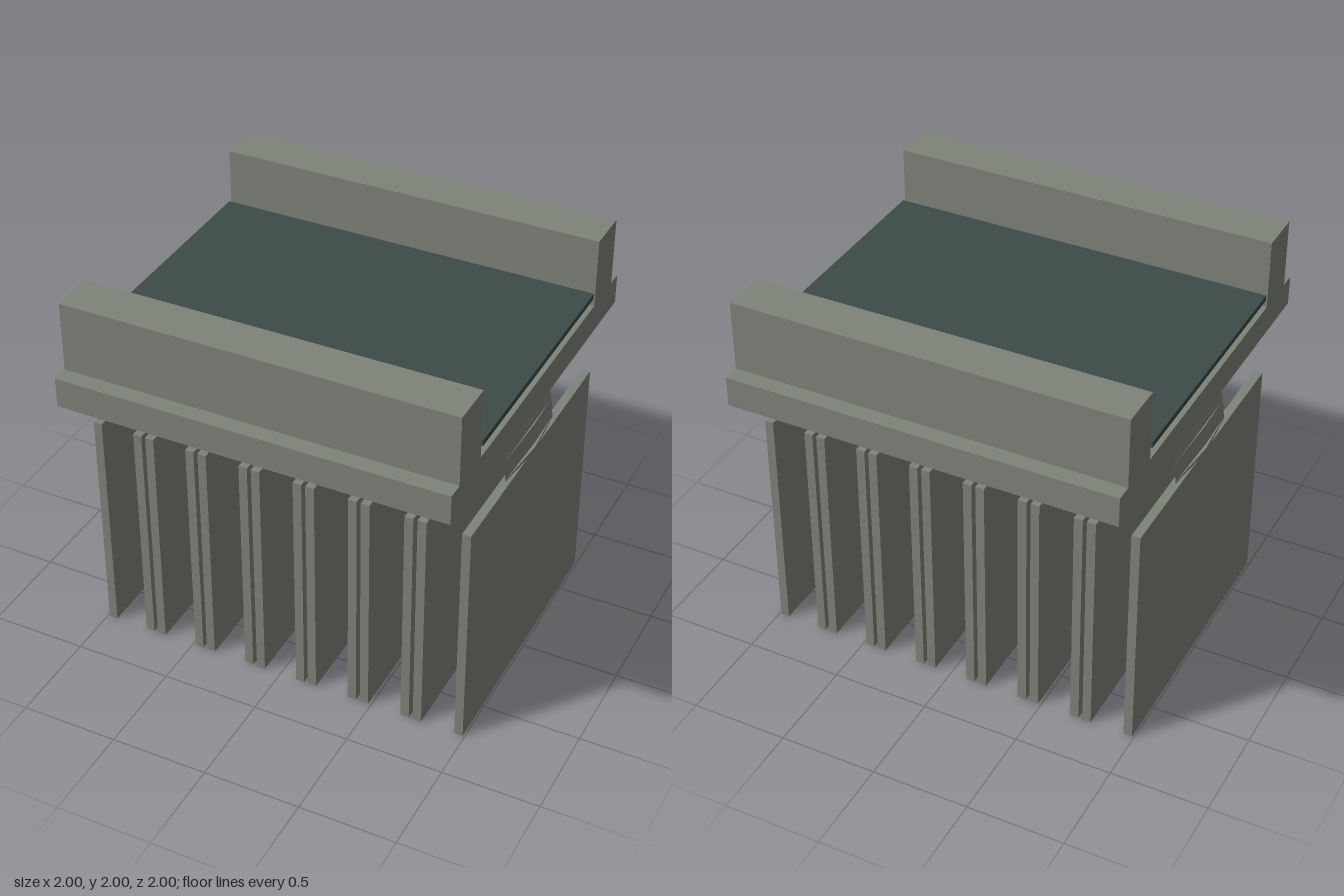
import * as THREE from 'three';
import { mergeGeometries } from 'three/addons/utils/BufferGeometryUtils.js';

const SPANS = 7, PITCH = 2 / SPANS;

// Ring of diamond-section stones set along a half circle, then stretched upwards
function archGeometry() {
  const count = 12, radius = 0.113, thick = 0.03, halfDepth = 0.29, stretch = 3.5;
  const length = 2 * radius * Math.tan(Math.PI / count / 2);
  const stones = [];
  for (let i = 0; i < count; i++) {
    const angle = (i + 0.5) * Math.PI / count;
    const stone = new THREE.CylinderGeometry(1, 1, 1, 4);
    stone.scale(thick, length, halfDepth);
    stone.translate(radius, 0, 0);
    stone.rotateZ(angle);
    stone.scale(1, stretch, 1);
    stones.push(stone);
  }
  const merged = mergeGeometries(stones).toNonIndexed();
  merged.computeVertexNormals();
  return merged;
}

export function createModel() {
  const model = new THREE.Group();
  model.name = 'aqueduct';
  const stone = new THREE.MeshStandardMaterial({ color: 0x7f847a, flatShading: true });
  stone.name = 'grey stone';
  const water = new THREE.MeshStandardMaterial({ color: 0x3c4b47, flatShading: true });
  water.name = 'dark water';

  // Box given by its width, its y range and its z range
  const box = (name, material, width, y0, y1, z0, z1, x = 0) => {
    const mesh = new THREE.Mesh(new THREE.BoxGeometry(width, y1 - y0, z1 - z0), material);
    mesh.position.set(x, (y0 + y1) / 2, (z0 + z1) / 2);
    mesh.name = name;
    model.add(mesh);
  };

  // Channel
  box('deck', stone, 2, 1.485, 1.64, -1, 1);
  box('frontParapet', stone, 2, 1.64, 2, 0.687, 0.915);
  box('backParapet', stone, 2, 1.64, 2, -0.915, -0.687);
  box('waterSurface', water, 2, 1.69, 1.72, -0.667, 0.667);

  // Spans: two thin piers and one arch each
  const arch = archGeometry();
  for (let i = 0; i < SPANS; i++) {
    const x = (i - (SPANS - 1) / 2) * PITCH;
    for (const side of [-1, 1]) box('pier', stone, 0.045, 0, 1.225, -0.732, 0.732, x + side * 0.11);
    const mesh = new THREE.Mesh(arch, stone);
    mesh.name = 'arch';
    mesh.position.set(x, 1.13, 0);
    model.add(mesh);
  }
  return model;
}
